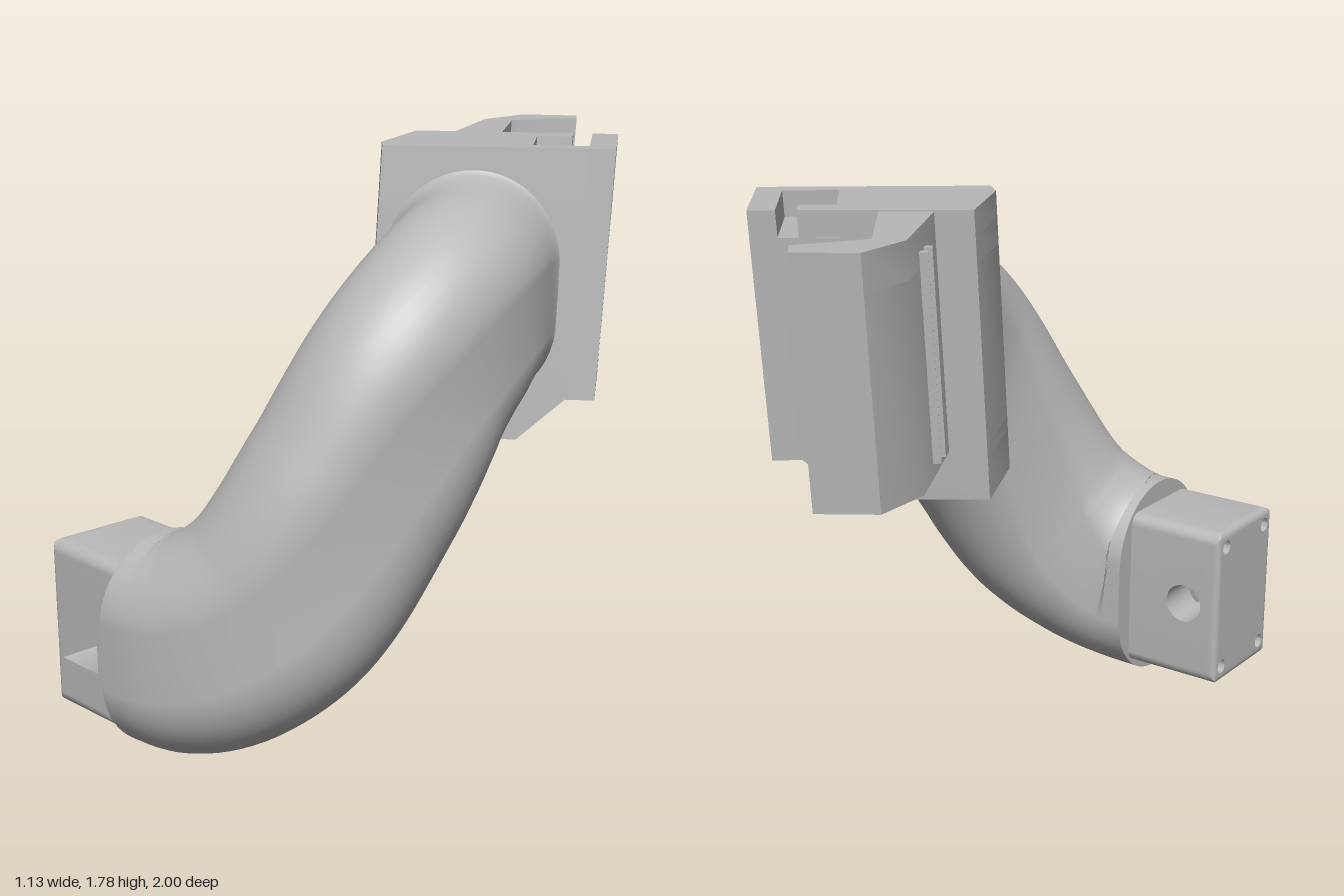
import * as THREE from 'three';
import { toCreasedNormals } from 'three/addons/utils/BufferGeometryUtils.js';

const V = (x, y, z) => new THREE.Vector3(x, y, z);
const poly = (pts) => new THREE.Shape(pts.map(([x, y]) => new THREE.Vector2(x, y)));

// rectangle with rounded corners, centred on (cx, cy)
function roundRect(cx, cy, hw, hh, r, Type = THREE.Shape) {
  const s = new Type();
  s.absarc(cx + hw - r, cy + hh - r, r, 0, Math.PI / 2);
  s.absarc(cx - hw + r, cy + hh - r, r, Math.PI / 2, Math.PI);
  s.absarc(cx - hw + r, cy - hh + r, r, Math.PI, Math.PI * 1.5);
  s.absarc(cx + hw - r, cy - hh + r, r, Math.PI * 1.5, Math.PI * 2);
  s.closePath();
  return s;
}

// extrude a shape along Z of a given (possibly sheared) frame
function extrude(shape, depth, frame, rule, steps = 1) {
  const g = new THREE.ExtrudeGeometry(shape, { depth, steps, bevelEnabled: false, curveSegments: 14 });
  const p = g.attributes.position, v = V(0, 0, 0);
  for (let i = 0; rule && i < p.count; i++) {
    v.fromBufferAttribute(p, i);
    rule(v);
    p.setXYZ(i, v.x, v.y, v.z);
  }
  g.applyMatrix4(frame);
  g.computeVertexNormals();
  return toCreasedNormals(g, 0.6);
}

const basis = (x, y, z, o) => new THREE.Matrix4().makeBasis(x, y, z).setPosition(o);

// slab whose outer rim is rounded over by pulling the outline inwards
function softSlab(shape, hw, hh, depth, r, frame, insetX) {
  return extrude(shape, depth, frame, (v) => {
    const k = Math.round((v.z / depth) * 5);
    if (k === 0) return;
    const a = ((k - 1) / 4) * Math.PI / 2, inset = r * (1 - Math.cos(a));
    v.z = depth - r + r * Math.sin(a);
    v.y = THREE.MathUtils.clamp(v.y, -hh + inset, hh - inset);
    if (insetX) v.x = THREE.MathUtils.clamp(v.x, -hw + inset, hw - inset);
  }, 5);
}

// curved arm: upright oval swept along a rising path, flaring into the head
function sweptArm() {
  const path = new THREE.CatmullRomCurve3([
    V(-0.23, 0.34, 0.75), V(-0.13, 0.348, 0.742), V(-0.01, 0.395, 0.7), V(0.13, 0.53, 0.6),
    V(0.25, 0.85, 0.43), V(0.305, 1.16, 0.24), V(0.285, 1.3, 0.05),
    V(0.235, 1.335, -0.07), V(0.178, 1.34, -0.15),
  ]);
  const N = 90, M = 48, pos = [], idx = [], up0 = V(0, 1, 0);
  for (let i = 0; i <= N; i++) {
    const t = i / N, c = path.getPointAt(t);
    const tan = path.getTangentAt(t).lerp(V(1, 0, 0), Math.max(0, 1 - t / 0.08)).normalize();
    const side = tan.clone().cross(up0).normalize(), up = side.clone().cross(tan);
    const r = 0.25 + 0.05 * Math.max(0, (t - 0.92) / 0.08) ** 3;
    for (let j = 0; j < M; j++) {
      const a = ((j + 0.5) / M) * Math.PI * 2;
      const q = c.clone().addScaledVector(side, r * Math.cos(a))
        .addScaledVector(up, r * Math.sin(a) + 0.09 * Math.sign(Math.sin(a)));
      pos.push(q.x, q.y, q.z);
    }
  }
  for (let i = 0; i < N; i++) for (let j = 0; j < M; j++) {
    const a = i * M + j, b = i * M + (j + 1) % M;
    idx.push(a, a + M, b, b, a + M, b + M);
  }
  const g = new THREE.BufferGeometry();
  g.setAttribute('position', new THREE.Float32BufferAttribute(pos, 3));
  g.setIndex(idx);
  g.computeVertexNormals();
  return g;
}

export function createModel() {
  const model = new THREE.Group();
  const grey = new THREE.MeshStandardMaterial({ color: 0xb8b8b8 });
  grey.name = 'plain grey';
  const add = (name, g, parent = model) => {
    const m = new THREE.Mesh(g, grey);
    m.name = name;
    parent.add(m);
  };

  add('curvedArm', sweptArm());
  add('armEndPlate', extrude(roundRect(0, 0, 0.25, 0.34, 0.25), 0.006,
    basis(V(0, 0, -1), V(0, 1, 0), V(1, 0, 0), V(-0.231, 0.34, 0.75))));

  // mounting block: square pocket in front, round bore behind, four screw holes on the end
  const block = new THREE.Group();
  block.name = 'mountingBlock';
  model.add(block);
  const rect = () => poly([[-0.16, -0.27], [0.16, -0.27], [0.16, 0.27], [-0.16, 0.27]]);
  const hole = (x, y, r) => new THREE.Path().absarc(x, y, r, 0, Math.PI * 2);
  const front = rect(), back = rect(), end = roundRect(0, 0, 0.18, 0.27, 0.04);
  front.holes.push(roundRect(-0.06, 0, 0.09, 0.11, 0.002, THREE.Path));
  back.holes.push(hole(0.06, 0, 0.065));
  for (const sx of [-1, 1]) for (const sy of [-1, 1]) end.holes.push(hole(sx * 0.13, sy * 0.215, 0.024));
  add('pocketHalf', softSlab(front, 0.16, 0.27, 0.21, 0.04,
    basis(V(1, 0, 0), V(0, 1, 0), V(0, 0, 1), V(-0.38, 0.34, 0.72)), false), block);
  add('boreHalf', softSlab(back, 0.16, 0.27, 0.15, 0.04,
    basis(V(-1, 0, 0), V(0, 1, 0), V(0, 0, -1), V(-0.38, 0.34, 0.72)), false), block);
  add('screwEnd', softSlab(end, 0.18, 0.27, 0.027, 0.02,
    basis(V(0, 0, 1), V(0, 1, 0), V(-1, 0, 0), V(-0.54, 0.34, 0.75)), true), block);

  // head frame: a runs along its face, b runs backwards, and it leans slightly with height
  const head = new THREE.Group();
  head.name = 'head';
  model.add(head);
  const lean = 0.089;
  const A = V(0.788, 0, -0.616), B = V(-0.616, 0, -0.788), Y = V(0, 1, -lean);
  const at = (a, y) => V(-0.026, 0, 0.037 + 1.78 * lean).addScaledVector(A, a).addScaledVector(Y, y);
  const prism = (name, pts, y0, y1, rule) =>
    add(name, extrude(poly(pts), y1 - y0, basis(A, B, Y, at(0, y0)), rule), head);

  // stacked layers; the foot's underside slopes up towards the slotted end
  const left = [[0.06, 0.37], [-0.013, 0.08]];
  const plan = [[0, 0], [0.62, 0], [0.62, 0.36], ...left];
  prism('headFoot', [[0, 0], [0.61, 0], [0.61, 0.36], ...left], 0.89, 1.02,
    (v) => { if (v.z < 0.01 && v.x > 0.4) v.x = 0.47; });
  prism('headFloor', plan, 1.02, 1.06);
  prism('headBody', [[0, 0], [0.62, 0], [0.62, 0.05], [0.53, 0.05], [0.53, 0.3],
    [0.62, 0.3], [0.62, 0.36], ...left], 1.06, 1.62);
  prism('headUpper', plan, 1.62, 1.7);
  prism('headTopPocket', [[0, 0], [0.62, 0], [0.62, 0.06], [0.45, 0.06], [0.45, 0.28],
    [0.56, 0.28], [0.56, 0.36], ...left], 1.7, 1.78);
  prism('slotInsert', [[0.52, 0.06], [0.58, 0.06], [0.58, 0.2], [0.52, 0.2]], 1.22, 1.6);

  // end wall with the tall oval opening
  const wall = poly([[0, 1.02], [0.36, 1.02], [0.36, 1.78], [0, 1.78]]);
  wall.holes.push(roundRect(0.175, 1.335, 0.125, 0.275, 0.125, THREE.Path));
  add('ovalSlotWall', extrude(wall, 0.08, basis(B, Y, A, at(0.62, 0))), head);

  // rail with an undercut groove, a hooked end and a recess in its top
  const hook = [[0.554, 0.8], [0.55, 0.886], [0.365, 0.897], [0.248, 0.746]];
  prism('rail', [[0.17, 0.35], [0.56, 0.35], [0.558, 0.68], [0.45, 0.69], ...hook], 1.045, 1.665);
  prism('railTop', [[0.17, 0.35], [0.33, 0.35], [0.34, 0.72], [0.37, 0.74], ...hook], 1.665, 1.775);

  // paired grip ribs on both sides of the rail
  for (const b of [0.43, 0.49]) {
    prism('railRib', [[0.55, b], [0.572, b], [0.572, b + 0.025], [0.55, b + 0.025]], 1.09, 1.66);
    const c = b + 0.09, a = 0.17 + (c - 0.37) * 0.207;
    prism('railRib', [[a - 0.018, c], [a + 0.02, c], [a + 0.02, c + 0.025], [a - 0.018, c + 0.025]], 1.09, 1.71);
  }
  return model;
}
